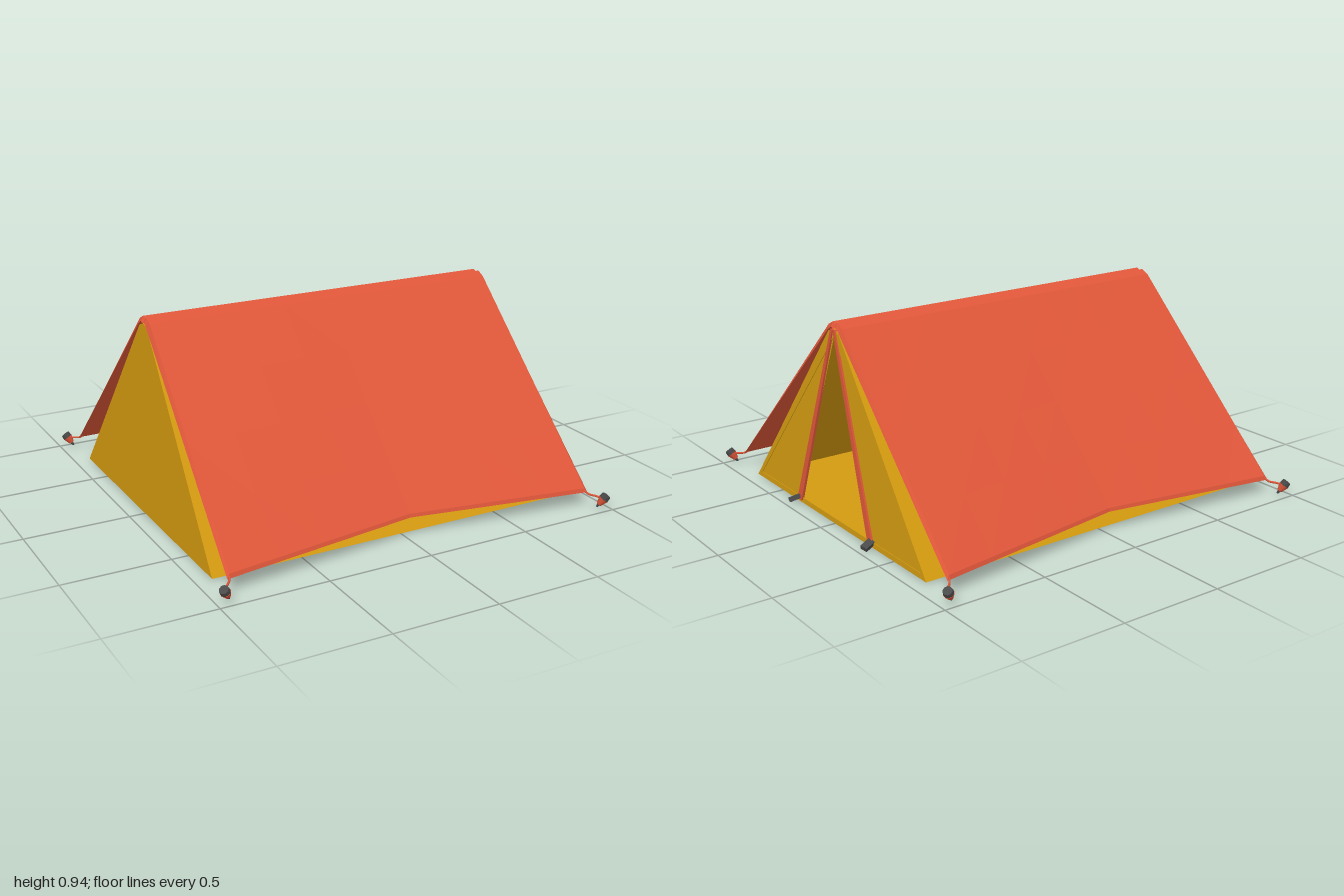
import * as THREE from 'three';

const material = (name, color, side = THREE.FrontSide) => {
  const m = new THREE.MeshStandardMaterial({ color, side });
  m.name = name;
  return m;
};

// x of the tent's leaning end walls at height y
const endX = (y) => 0.925 - 0.034 * (y / 0.92);

// Skin joining equal cross-sections into flat-shaded faces, optionally closed with strip caps
function loft(rings, caps) {
  const n = rings[0].length, pos = [];
  const quad = (a, b, c, d) => [a, b, c, a, c, d].forEach((p) => pos.push(...p));
  for (let s = 0; s + 1 < rings.length; s++)
    for (let i = 0; i < n; i++) {
      const j = (i + 1) % n;
      quad(rings[s][i], rings[s][j], rings[s + 1][j], rings[s + 1][i]);
    }
  if (caps)
    for (const r of [rings[0], rings[rings.length - 1]])
      for (let i = 0; i + 1 < n / 2; i++) quad(r[i], r[i + 1], r[n - 2 - i], r[n - 1 - i]);
  const g = new THREE.BufferGeometry();
  g.setAttribute('position', new THREE.Float32BufferAttribute(pos, 3));
  g.computeVertexNormals();
  return g;
}

// One slope of the fly sheet: thick cloth whose lower hem is drawn in at the middle
function flyGeometry(side) {
  const rings = [];
  for (let s = -4; s <= 4; s++) {
    const u = s / 4, k = Math.abs(u);
    const mix = (a, b) => a + (b - a) * k;
    const slope = (p, q) => [0.25, 0.5, 0.75, 1].map((t) => [p[0] + (q[0] - p[0]) * t, p[1] + (q[1] - p[1]) * t]);
    const outer = [[0, 0.925], [0.02, 0.935], [0.058, 0.916]];
    outer.push(...slope(outer[2], [mix(0.82, 0.898), mix(0.121, 0.085)]));
    const inner = [[0, 0.908], [0.02, 0.913], [0.047, 0.895]];
    inner.push(...slope(inner[2], [mix(0.825, 0.905), mix(0.105, 0.065)]));
    const place = (inset) => ([z, y]) => [u * (0.895 + 0.028 * (0.935 - y) / 0.87 - inset), y, z * side];
    rings.push([...outer.map(place(0.012)), ...inner.map(place(0)).reverse()]);
  }
  return loft(rings, true);
}

// Turn a (z, y) drawing into an end wall, leaning with the tent
function toEnd(geometry, side, lift = 0) {
  geometry.rotateY(Math.PI / 2);
  const p = geometry.attributes.position;
  for (let i = 0; i < p.count; i++)
    p.setX(i, side * (endX(p.getY(i)) + lift + p.getX(i)));
  geometry.computeVertexNormals();
  return geometry;
}

const polygon = (points) => new THREE.Shape(points.map(([a, b]) => new THREE.Vector2(a, b)));

export function createModel() {
  const model = new THREE.Group();
  model.name = 'tent';
  const red = material('red cloth', 0xde5639, THREE.DoubleSide);
  const yellow = material('yellow cloth', 0xd39a10, THREE.DoubleSide);
  const grey = material('dark grey', 0x4a4a4a);

  const add = (name, geometry, mat, parent = model) => {
    const mesh = new THREE.Mesh(geometry, mat);
    mesh.name = name;
    parent.add(mesh);
    return mesh;
  };

  // Inner tent: floor, sloping walls and the two ends
  const profile = [[-0.755, 0], [-0.045, 0.89], [0, 0.907], [0.045, 0.89], [0.755, 0]];
  const ring = (s) => profile.map(([z, y]) => [s * endX(y), y, z]);
  add('innerTentWallsAndFloor', loft([ring(-1), ring(1)], false), yellow);
  add('closedEnd', toEnd(new THREE.ShapeGeometry(polygon(profile)), -1), yellow);
  const doorWall = polygon(profile);
  doorWall.holes.push(polygon([[0, 0.87], [0.315, 0.025], [-0.315, 0.025]]));
  add('doorEnd', toEnd(new THREE.ShapeGeometry(doorWall), 1), yellow);

  // Narrow raised hem around the door end
  const hem = polygon(profile);
  hem.holes.push(polygon([[-0.71, 0.025], [0, 0.87], [0.71, 0.025]]));
  add('doorEndHem', toEnd(new THREE.ExtrudeGeometry(hem, { depth: 0.003, bevelEnabled: false }), 1), yellow);

  for (const sz of [-1, 1]) {
    // Fly sheet
    add(sz > 0 ? 'flyFront' : 'flyBack', flyGeometry(sz), red);

    // Door edging strip with its peg
    const strip = polygon([[0, 0.905], [0.018 * sz, 0.905], [0.338 * sz, 0.012], [0.298 * sz, 0.012]]);
    add('doorStrip', toEnd(new THREE.ExtrudeGeometry(strip, { depth: 0.012, bevelEnabled: false }), 1, -0.003), red);
    const doorPeg = add('doorPeg', new THREE.BoxGeometry(0.065, 0.02, 0.034), grey);
    doorPeg.position.set(0.947, 0.02, 0.33 * sz);
    doorPeg.rotation.set(0.3 * sz, -0.35 * sz, -0.2);

    // Corner guy lines and pegs
    for (const sx of [-1, 1]) {
      const corner = new THREE.Group();
      corner.name = 'cornerAnchor';
      model.add(corner);
      const at = (x, y, z) => new THREE.Vector3(x * sx, y, z * sz);
      const line = new THREE.CatmullRomCurve3([at(0.908, 0.075, 0.895), at(0.922, 0.06, 0.918), at(0.942, 0.056, 0.94), at(0.962, 0.05, 0.97)]);
      add('guyLine', new THREE.TubeGeometry(line, 12, 0.005, 6), red, corner);
      const tip = at(0.94, 0.008, 0.957), head = at(0.974, 0.067, 0.981);
      const peg = new THREE.Group();
      peg.name = 'peg';
      peg.position.copy(tip);
      peg.quaternion.setFromUnitVectors(new THREE.Vector3(0, 1, 0), head.sub(tip).normalize());
      corner.add(peg);
      add('pegSpike', new THREE.CylinderGeometry(0.012, 0.004, 0.03, 8), grey, peg).position.y = 0.015;
      add('pegLoop', new THREE.CylinderGeometry(0.024, 0.012, 0.035, 10), red, peg).position.y = 0.034;
      add('pegHead', new THREE.CylinderGeometry(0.021, 0.023, 0.022, 10), grey, peg).position.y = 0.061;
    }
  }
  return model;
}
